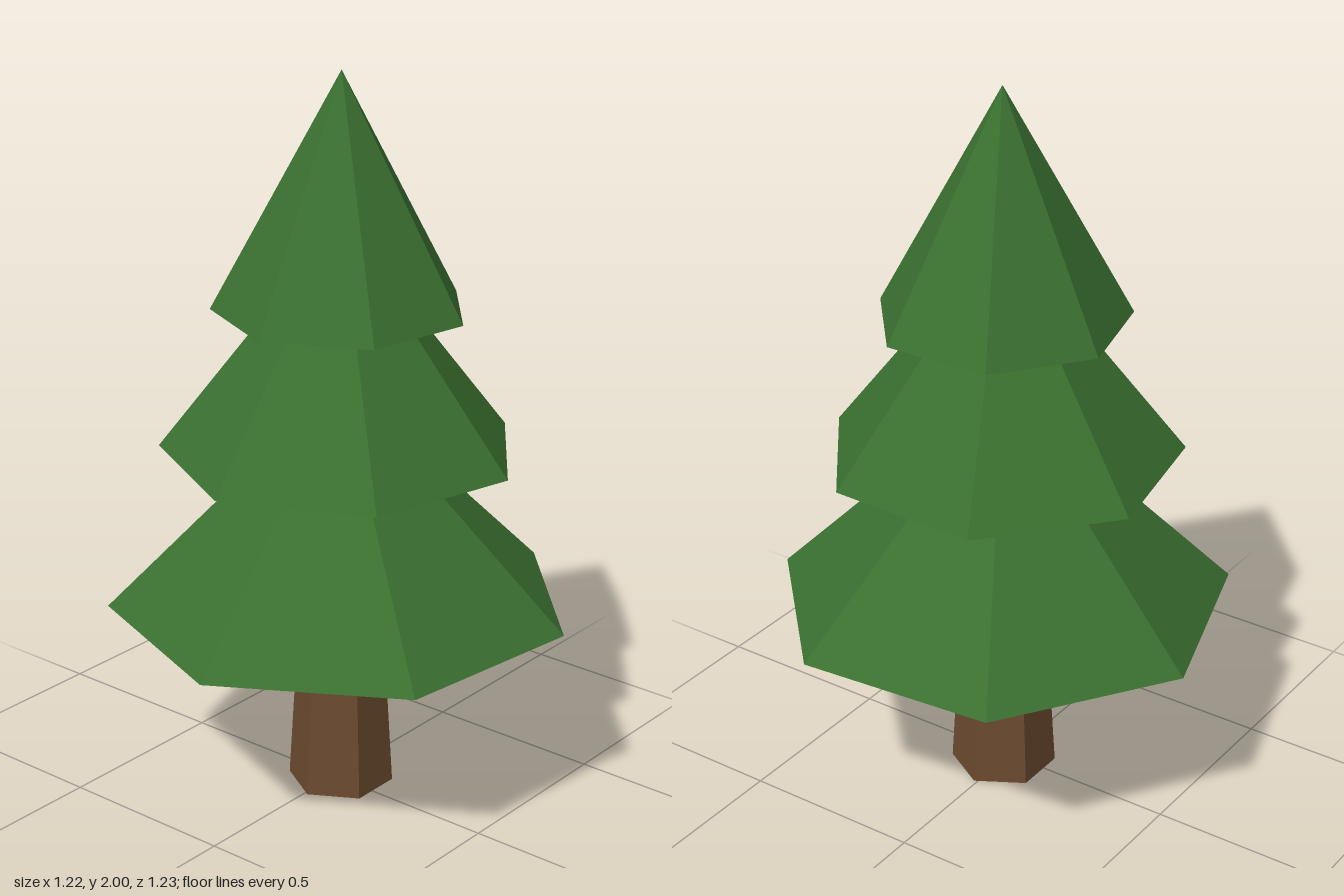
import * as THREE from 'three';

export function createModel() {
  const model = new THREE.Group();
  const mat = (name, color) => {
    const m = new THREE.MeshStandardMaterial({ color, flatShading: true });
    m.name = name;
    return m;
  };
  const needleGreen = mat('needle green', 0x3a7030);
  const barkBrown = mat('bark brown', 0x6b4a2f);

  // The whole tree shares one vertical axis
  const tree = new THREE.Group();
  tree.name = 'tree';
  tree.position.set(0.016, 0, 0.01);
  model.add(tree);

  // Adds a faceted cone or tapered post standing on y, turned by a few degrees
  function addTaper(name, material, sides, topRadius, baseRadius, height, y, turn) {
    const geometry = new THREE.CylinderGeometry(topRadius, baseRadius, height, sides);
    geometry.translate(0, height / 2, 0);
    const mesh = new THREE.Mesh(geometry, material);
    mesh.name = name;
    mesh.position.y = y;
    mesh.rotation.y = THREE.MathUtils.degToRad(turn);
    tree.add(mesh);
  }

  // Six-sided tapering trunk, ending just inside the lowest branches
  addTaper('trunk', barkBrown, 6, 0.111, 0.145, 0.57, 0, 30);

  // Seven-sided branch tiers, each twisted a little differently
  const tiers = [
    ['lowerBranches', 0.631, 0.54, 17.9],
    ['middleBranches', 0.486, 0.98, 11.3],
    ['upperBranches', 0.342, 1.37, 14.7],
  ];
  for (const [name, radius, y, turn] of tiers) {
    addTaper(name, needleGreen, 7, 0, radius, 0.63, y, turn);
  }
  return model;
}
